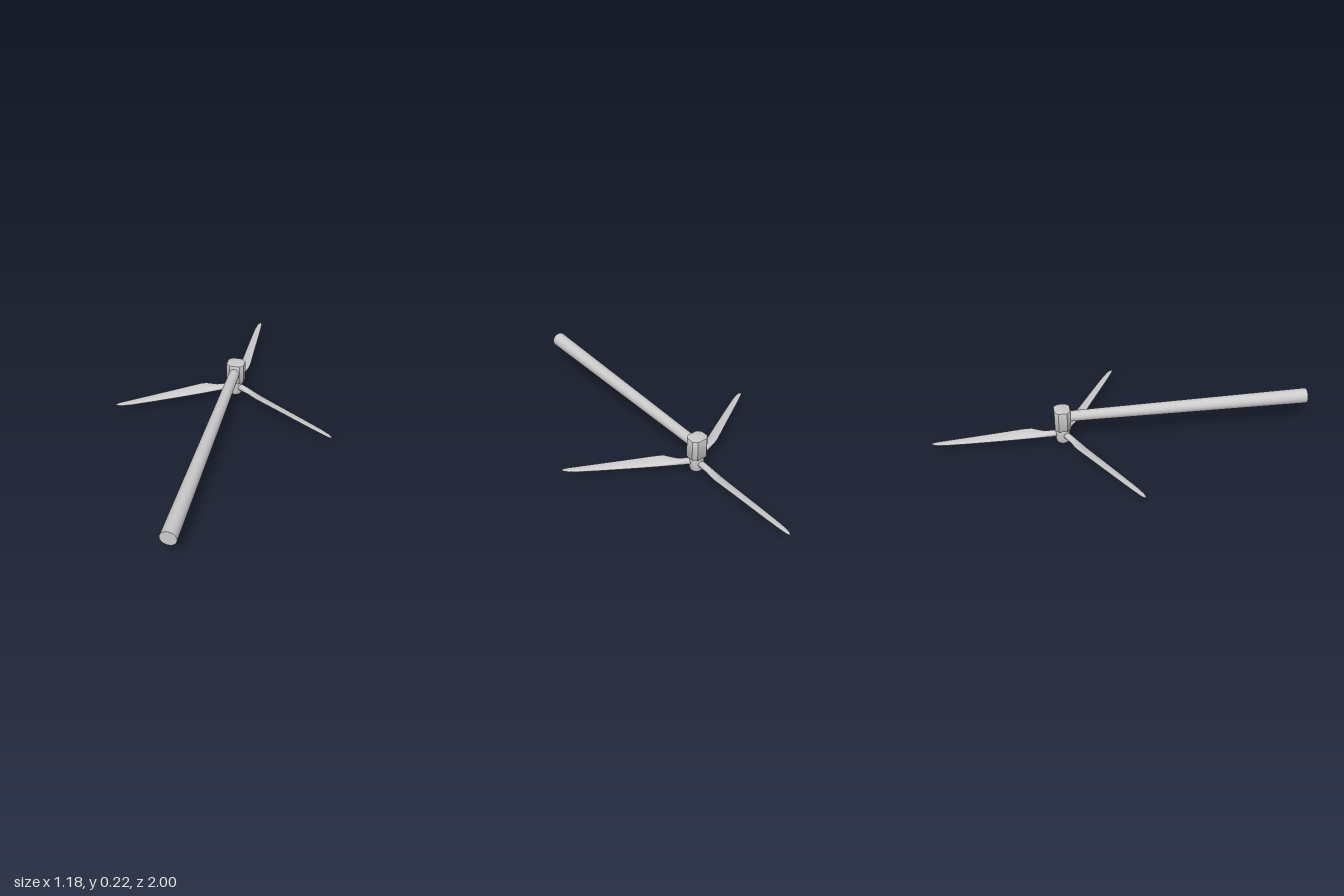
import * as THREE from 'three';
import { toCreasedNormals } from 'three/addons/utils/BufferGeometryUtils.js';

const HUB_Z = -0.32;
const BLADE_Y = 0.065;
const TOWER_Y = 0.166;

// Blade stations: [span, leading x, trailing x, leading y, trailing y, thickness]
const STATIONS = [
  [0.02, -0.018, 0.018, 0, 0, 0.036],
  [0.07, -0.018, 0.019, 0, 0.001, 0.034],
  [0.10, -0.019, 0.023, -0.002, 0.005, 0.029],
  [0.13, -0.020, 0.033, -0.004, 0.011, 0.023],
  [0.16, -0.020, 0.042, -0.005, 0.017, 0.019],
  [0.19, -0.020, 0.044, -0.006, 0.017, 0.017],
  [0.32, -0.020, 0.036, -0.006, 0.012, 0.014],
  [0.48, -0.019, 0.027, -0.005, 0.006, 0.011],
  [0.60, -0.017, 0.020, -0.004, 0.002, 0.009],
  [0.65, -0.012, 0.016, -0.003, 0.001, 0.007],
  [0.67, -0.006, 0.013, -0.002, 0, 0.005],
  [0.68, 0.001, 0.008, -0.001, 0, 0.002],
];

// Loft from round root through twisted aerofoil sections to the tip
function bladeGeometry(sides = 16) {
  const pos = [], index = [];
  STATIONS.forEach(([span, x0, x1, y0, y1, t]) => {
    const foil = THREE.MathUtils.smoothstep(span, 0.07, 0.16);
    for (let i = 0; i < sides; i++) {
      const a = (i / sides) * Math.PI * 2;
      const u = (1 - Math.cos(a)) / 2;
      const taper = 1 + foil * (0.35 - 0.9 * u);
      pos.push(x0 + (x1 - x0) * u, y0 + (y1 - y0) * u + Math.sin(a) * t * 0.5 * taper, -span);
    }
  });
  const last = STATIONS.length - 1;
  for (let s = 0; s < last; s++) {
    for (let i = 0; i < sides; i++) {
      const a = s * sides + i, b = s * sides + (i + 1) % sides;
      index.push(a, a + sides, b, b, a + sides, b + sides);
    }
  }
  for (let i = 1; i < sides - 1; i++) {
    index.push(0, i, i + 1, last * sides, last * sides + i + 1, last * sides + i);
  }
  const g = new THREE.BufferGeometry();
  g.setAttribute('position', new THREE.Float32BufferAttribute(pos, 3));
  g.setIndex(index);
  g.computeVertexNormals();
  return g;
}

// Chamfered box outline for the nacelle
function nacelleGeometry() {
  const w = 0.045, d = 0.039, c = 0.018, bevel = 0.003;
  const shape = new THREE.Shape([
    [w, -d + c], [w, d - c], [w - c, d], [-w + c, d],
    [-w, d - c], [-w, -d + c], [-w + c, -d], [w - c, -d],
  ].map(([x, y]) => new THREE.Vector2(x, y)));
  const g = new THREE.ExtrudeGeometry(shape, {
    depth: 0.109, bevelEnabled: true, bevelSize: bevel, bevelThickness: bevel, bevelSegments: 2,
  });
  return g.rotateX(-Math.PI / 2);
}

export function createModel() {
  const model = new THREE.Group();
  model.name = 'windTurbine';
  const material = new THREE.MeshStandardMaterial({ color: 0xcccccc, side: THREE.DoubleSide });
  const add = (name, geometry, parent = model) => {
    const mesh = new THREE.Mesh(geometry, material);
    mesh.name = name;
    parent.add(mesh);
    return mesh;
  };

  // Tapered tower lying along z, its foot at the front
  const tower = add('tower', new THREE.CylinderGeometry(0.028, 0.041, 1.3, 32));
  tower.rotation.x = -Math.PI / 2;
  tower.position.set(0, TOWER_Y, 0.35);

  // Nacelle across the tower's end
  const nacelle = add('nacelle', toCreasedNormals(nacelleGeometry(), 0.5));
  nacelle.position.set(0, 0.103, HUB_Z);

  // Rotor: hub with pointed nose and three blades
  const rotor = new THREE.Group();
  rotor.name = 'rotor';
  rotor.position.set(0, BLADE_Y, HUB_Z);
  model.add(rotor);

  const profile = [
    [0, -0.065], [0.018, -0.056], [0.032, -0.047], [0.036, -0.038],
    [0.038, -0.02], [0.039, 0.02], [0.038, 0.03], [0.034, 0.036], [0.034, 0.045], [0, 0.045],
  ].map(([x, y]) => new THREE.Vector2(x, y));
  add('hub', toCreasedNormals(new THREE.LatheGeometry(profile, 24), 0.6), rotor);

  const geometry = bladeGeometry();
  for (let i = 0; i < 3; i++) {
    add('blade' + (i + 1), geometry, rotor).rotation.y = (-i * Math.PI * 2) / 3;
  }
  return model;
}
